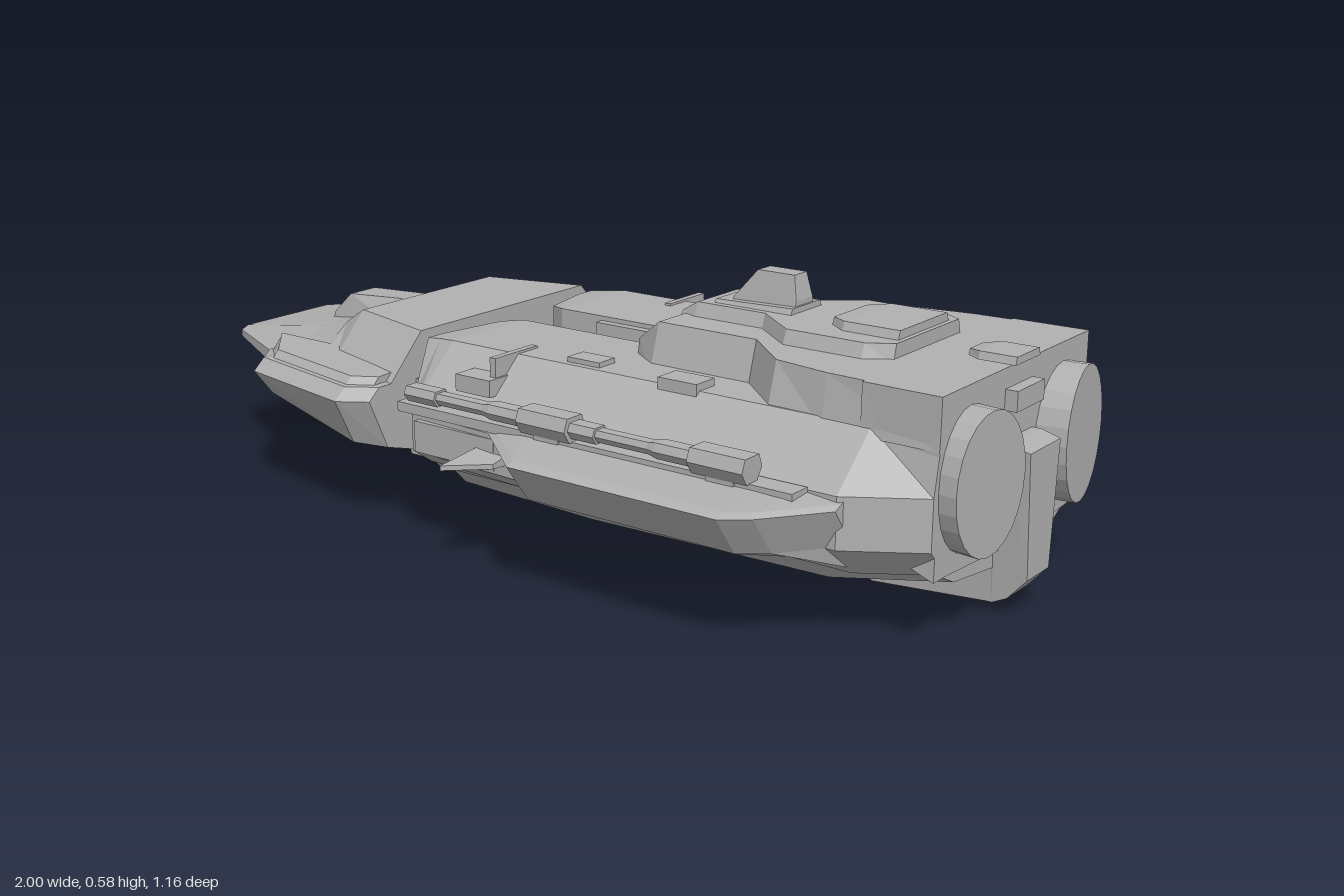
import * as THREE from 'three';

const hullGrey = new THREE.MeshStandardMaterial({ color: 0xb0b0b0, flatShading: true });
hullGrey.name = 'hull grey';

// Skin convex cross-sections [x, [[z, y], ...]] laid out along x and cap both ends.
function loft(sections, side = 1) {
  const rings = sections.map(([x, pts]) => pts.map(([z, y]) => new THREE.Vector3(x, y, z * side)));
  const n = rings[0].length, tris = [];
  for (let i = 0; i < rings.length - 1; i++) {
    const a = rings[i], b = rings[i + 1];
    for (let j = 0; j < n; j++) {
      const k = (j + 1) % n;
      tris.push([a[j], b[j], b[k]], [a[j], b[k], a[k]]);
    }
  }
  const last = rings[rings.length - 1];
  for (let j = 1; j < n - 1; j++) {
    tris.push([rings[0][0], rings[0][j], rings[0][j + 1]], [last[0], last[j + 1], last[j]]);
  }
  // turn the skin outward when its signed volume is negative
  const cross = new THREE.Vector3();
  const volume = tris.reduce((s, [p, q, r]) => s + p.dot(cross.crossVectors(q, r)), 0);
  const points = tris.flatMap(([p, q, r]) => (volume < 0 ? [p, r, q] : [p, q, r]));
  const geo = new THREE.BufferGeometry().setFromPoints(points);
  geo.computeVertexNormals();
  return geo;
}

// Complete a half profile across the centre line.
const sym = (pts) => pts.concat(pts.map(([z, y]) => [-z, y]).reverse());
// Trapezoid section: base half-width, top half-width, base height, top height.
const trap = (x, wb, wt, y0, y1) => [x, sym([[wt, y1], [wb, y0]])];

export function createModel() {
  const ship = new THREE.Group();
  ship.name = 'spaceship';
  const add = (name, geo) => {
    const mesh = new THREE.Mesh(geo, hullGrey);
    mesh.name = name;
    ship.add(mesh);
    return mesh;
  };
  const box = (name, x0, x1, y0, y1, z0, z1) =>
    add(name, new THREE.BoxGeometry(x1 - x0, y1 - y0, Math.abs(z1 - z0))
      .translate((x0 + x1) / 2, (y0 + y1) / 2, (z0 + z1) / 2));

  // Nose wedge, raised block and bridge
  add('nose', loft([
    [-1, sym([[0.13, 0.278], [0.15, 0.27], [0.15, 0.255], [0.1, 0.25]])],
    [-0.72, sym([[0.16, 0.325], [0.28, 0.27], [0.28, 0.235], [0.13, 0.18]])],
    [-0.58, sym([[0.2, 0.355], [0.31, 0.3], [0.32, 0.22], [0.17, 0.155]])],
    [-0.3, sym([[0.27, 0.37], [0.36, 0.3], [0.36, 0.2], [0.25, 0.11]])],
  ]));
  add('noseBlock', loft([
    trap(-0.6, 0.28, 0.19, 0.3, 0.36),
    trap(-0.53, 0.31, 0.21, 0.3, 0.4),
    trap(-0.3, 0.37, 0.27, 0.3, 0.4),
  ]));
  add('bridge', loft([
    trap(-0.79, 0.05, 0.045, 0.3, 0.325),
    trap(-0.74, 0.06, 0.04, 0.3, 0.375),
    trap(-0.58, 0.07, 0.035, 0.33, 0.385),
    trap(-0.56, 0.07, 0.04, 0.33, 0.38),
  ]));

  // Neck and sunken channel floor between the two hull halves
  box('neck', -0.32, -0.23, 0.13, 0.3, -0.29, 0.29);
  box('channelFloor', -0.3, 0.24, 0.27, 0.3, -0.075, 0.075);

  for (const s of [1, -1]) {
    // Side pods on the nose, with a stepped rim
    const pod = (x, zo, yt, yb) => [x, [[0.26, yt], [zo - 0.03, yt], [zo, yt - 0.025], [zo - 0.05, yb + 0.03], [0.28, yb]]];
    add('nosePod', loft([
      pod(-0.77, 0.3, 0.285, 0.22), pod(-0.67, 0.41, 0.305, 0.19),
      pod(-0.36, 0.47, 0.305, 0.15), pod(-0.3, 0.43, 0.305, 0.14),
    ], s));
    const rim = (x, zo) => [x, [[0.26, 0.29], [0.26, 0.325], [zo - 0.03, 0.32], [zo, 0.29]]];
    add('nosePodRim', loft([rim(-0.74, 0.29), rim(-0.65, 0.385), rim(-0.37, 0.44), rim(-0.32, 0.41)], s));

    // Main hull half, parted by the central channel at the front
    const hull = (x, zi, zt, zo, top = 0.4) =>
      [x, [[zi, top], [zt, top], [zo, 0.3], [zo, 0.2], [zo - 0.06, 0.14], [zi, 0.125]]];
    add('hullHalf', loft([
      hull(-0.275, 0.23, 0.275, 0.31, 0.39), hull(-0.235, 0.09, 0.28, 0.36, 0.395),
      hull(-0.19, 0.065, 0.29, 0.4), hull(0.23, 0.065, 0.29, 0.4), hull(0.23, 0, 0.29, 0.4),
      hull(0.8, 0, 0.29, 0.4), hull(0.94, 0, 0.29, 0.31),
    ], s));
    box('channelLip', -0.08, 0.23, 0.36, 0.39, s * 0.045, s * 0.07);

    // Keel half with an opening below the channel
    const keel = (x, zi, zo, yb) => [x, [[zi, 0.145], [zo, 0.14], [zo - 0.06, yb + 0.025], [zi, yb]]];
    add('keelHalf', loft([
      keel(-0.25, 0.065, 0.27, 0.09), keel(-0.2, 0.065, 0.31, 0.055), keel(0.15, 0.065, 0.32, 0.05),
      keel(0.15, 0, 0.32, 0.05), keel(0.7, 0, 0.31, 0.055), keel(0.93, 0, 0.26, 0.085),
    ], s));

    // Broad side wing and the slimmer strip ahead of it
    const wing = (x, zo, yo = 0.285) =>
      [x, [[0.37, 0.3], [zo - 0.02, yo + 0.003], [zo, yo - 0.005], [zo - 0.06, 0.2], [0.34, 0.15]]];
    add('sideWing', loft([
      wing(0.02, 0.43), wing(0.08, 0.48), wing(0.2, 0.58), wing(0.67, 0.58), wing(0.72, 0.54), wing(0.81, 0.42),
    ], s));
    const strip = (x, zo) => [x, [[0.36, 0.3], [zo - 0.015, 0.3], [zo, 0.28], [zo, 0.2], [zo - 0.05, 0.165], [0.34, 0.16]]];
    add('sideStrip', loft([strip(-0.22, 0.38), strip(-0.18, 0.43), strip(0.15, 0.45), strip(0.2, 0.42)], s));
    box('sidePanel', -0.16, 0.05, 0.205, 0.27, s * 0.4, s * 0.445);
    add('wingSpike', loft([
      [0.005, [[0.4, 0.25], [0.55, 0.235], [0.55, 0.225], [0.4, 0.22]]],
      [0.08, [[0.4, 0.25], [0.48, 0.235], [0.48, 0.225], [0.4, 0.22]]],
    ], s));

    // Long guns on the shoulder
    box('gunRail', -0.2, 0.74, 0.285, 0.305, s * 0.4, s * 0.45);
    for (const x of [0.13, 0.53]) {
      const head = (px, w, h) => [px, [[0.44 - w, 0.328], [0.44 - w * 0.7, 0.328 + h], [0.44 + w * 0.7, 0.328 + h],
        [0.44 + w, 0.328], [0.44 + w * 0.5, 0.328 - h], [0.44 - w * 0.5, 0.328 - h]]];
      add('gunHousing', loft([head(x, 0.032, 0.025), head(x + 0.12, 0.032, 0.025)], s));
      add('gunBarrel', loft([head(x - 0.26, 0.016, 0.012), head(x - 0.1, 0.016, 0.012),
        head(x - 0.08, 0.022, 0.016), head(x, 0.022, 0.016)], s));
      add('gunMuzzle', loft([head(x - 0.3, 0.022, 0.016), head(x - 0.22, 0.022, 0.016)], s));
      box('gunStem', x + 0.03, x + 0.09, 0.28, 0.32, s * 0.425, s * 0.455);
    }

    // Small hull fittings
    box('shoulderVent', -0.1, -0.01, 0.33, 0.365, s * 0.32, s * 0.385);
    box('shoulderRib', -0.03, -0.015, 0.36, 0.405, s * 0.23, s * 0.36);
    box('deckHatch', 0.34, 0.43, 0.37, 0.415, s * 0.24, s * 0.3);

    // Engine drum, oval and toed slightly outward
    const engine = add('engine', new THREE.CylinderGeometry(0.137, 0.137, 0.12, 24));
    engine.geometry.rotateZ(-Math.PI / 2).scale(1, 1, 0.78).rotateY(-s * 0.12).translate(0.93, 0.305, s * 0.185);
  }
  box('foreHatch', 0.1, 0.18, 0.38, 0.41, 0.225, 0.275);

  // Raised deck, flaring toward the stern
  add('raisedDeck', loft([
    trap(0.17, 0.14, 0.13, 0.38, 0.43), trap(0.24, 0.19, 0.16, 0.38, 0.48), trap(0.47, 0.19, 0.16, 0.38, 0.48),
    trap(0.58, 0.29, 0.26, 0.38, 0.48), trap(0.7, 0.295, 0.28, 0.38, 0.48), trap(0.94, 0.297, 0.292, 0.38, 0.48),
  ]));
  add('sternBlock', loft([
    trap(0.78, 0.297, 0.292, 0.2, 0.48), trap(0.94, 0.297, 0.295, 0.14, 0.48),
  ]));

  // Superstructure, tower and top plates
  add('superstructure', loft([
    trap(0.23, 0.075, 0.065, 0.47, 0.485), trap(0.27, 0.085, 0.07, 0.47, 0.508), trap(0.43, 0.085, 0.07, 0.47, 0.508),
    trap(0.53, 0.165, 0.15, 0.47, 0.508), trap(0.7, 0.165, 0.15, 0.47, 0.508), trap(0.75, 0.13, 0.12, 0.47, 0.508),
  ]));
  add('towerBase', loft([trap(0.3, 0.06, 0.05, 0.5, 0.515), trap(0.48, 0.06, 0.05, 0.5, 0.52)]));
  add('tower', loft([
    trap(0.33, 0.036, 0.033, 0.505, 0.52), trap(0.38, 0.036, 0.022, 0.505, 0.58),
    trap(0.465, 0.036, 0.022, 0.505, 0.58), trap(0.475, 0.036, 0.03, 0.505, 0.53),
  ]));
  add('topPlate', loft([
    trap(0.58, 0.07, 0.06, 0.5, 0.522), trap(0.62, 0.1, 0.09, 0.5, 0.525),
    trap(0.74, 0.1, 0.09, 0.5, 0.525),
  ]));
  add('sternPlate', loft([
    trap(0.85, 0.03, 0.025, 0.485, 0.496), trap(0.88, 0.05, 0.045, 0.485, 0.5), trap(0.955, 0.05, 0.045, 0.485, 0.5),
  ]));
  box('sternPlateStem', 0.88, 0.93, 0.47, 0.49, -0.02, 0.02);
  box('sternPort', 0.9, 0.965, 0.4, 0.44, -0.055, 0.055);

  // Ventral fin running up between the engines
  add('ventralFin', loft([
    trap(0.63, 0.04, 0.045, 0.055, 0.1), trap(0.67, 0.04, 0.045, 0.0, 0.1),
    trap(0.92, 0.042, 0.05, 0.02, 0.18), trap(0.93, 0.042, 0.065, 0.02, 0.34),
    trap(0.96, 0.042, 0.065, 0.035, 0.34), trap(1, 0.045, 0.062, 0.08, 0.33),
  ]));
  return ship;
}
